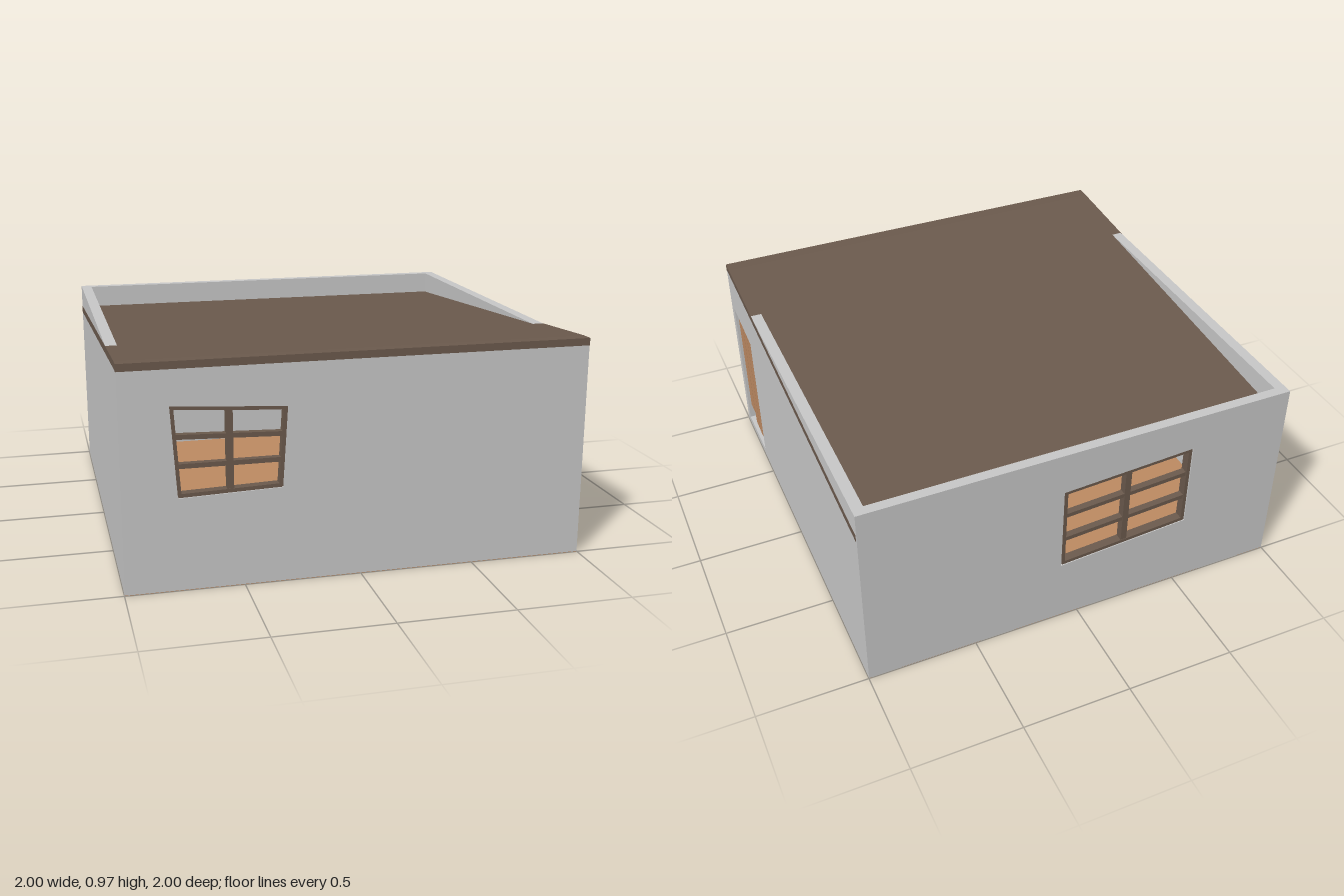
import * as THREE from 'three';

const plaster = new THREE.MeshStandardMaterial({ color: 0xc8c8c8 });
plaster.name = 'plaster';
const darkWood = new THREE.MeshStandardMaterial({ color: 0x6b5a4d });
darkWood.name = 'darkWood';
const lightWood = new THREE.MeshStandardMaterial({ color: 0xbd8a62 });
lightWood.name = 'lightWood';

const vectors = (pts) => pts.map(([x, y]) => new THREE.Vector2(x, y));

// Flat panel from an outline, with an optional opening
function panel(name, outline, depth, material, hole) {
  const shape = new THREE.Shape(vectors(outline));
  if (hole) shape.holes.push(new THREE.Path(vectors(hole)));
  const geometry = new THREE.ExtrudeGeometry(shape, { depth, bevelEnabled: false });
  const mesh = new THREE.Mesh(geometry, material);
  mesh.name = name;
  return mesh;
}

// Panel drawn in (z, y) whose outer face lies at the given x
function sidePanel(name, outline, depth, material, x, hole) {
  const mesh = panel(name, outline, depth, material, hole);
  mesh.rotation.y = -Math.PI / 2;
  mesh.position.x = x;
  return mesh;
}

const rect = (x0, x1, y0, y1) => [[x0, y0], [x1, y0], [x1, y1], [x0, y1]];

// Wooden bar between two points in the plane of a window
function bar(name, a, b, width, depth) {
  const dx = b[0] - a[0], dy = b[1] - a[1];
  const mesh = new THREE.Mesh(new THREE.BoxGeometry(Math.hypot(dx, dy) + 0.01, width, depth), darkWood);
  mesh.name = name;
  mesh.position.set((a[0] + b[0]) / 2, (a[1] + b[1]) / 2, 0);
  mesh.rotation.z = Math.atan2(dy, dx);
  return mesh;
}

// Crooked six-pane frame; corners run bottom left, bottom right, top right, top left
function windowFrame(name, corners, z) {
  const group = new THREE.Group();
  group.name = name;
  const cx = corners.reduce((s, p) => s + p[0], 0) / 4;
  const cy = corners.reduce((s, p) => s + p[1], 0) / 4;
  const q = corners.map(([x, y]) => [cx + (x - cx) * 0.965, cy + (y - cy) * 0.955]);
  const mix = (a, b, t) => [a[0] + (b[0] - a[0]) * t, a[1] + (b[1] - a[1]) * t];
  for (let i = 0; i < 4; i++) group.add(bar('frameEdge', q[i], q[(i + 1) % 4], 0.016, 0.04));
  group.add(bar('mullion', mix(q[0], q[1], 0.5), mix(q[3], q[2], 0.5), 0.028, 0.036));
  for (const t of [1 / 3, 2 / 3]) {
    group.add(bar('rail', mix(q[0], q[3], t), mix(q[1], q[2], t), 0.02, 0.03));
  }
  group.position.z = z;
  return group;
}

export function createModel() {
  const model = new THREE.Group();
  const edge = 0.999, top = 0.94, base = 0.002;

  // Floor slab
  const floor = new THREE.Mesh(new THREE.BoxGeometry(1.996, 0.035, 1.996), lightWood);
  floor.name = 'floor';
  floor.position.y = 0.0175;
  model.add(floor);

  // Front and back walls with their window openings
  const frontHole = [[-0.77, 0.4], [-0.335, 0.414], [-0.313, 0.757], [-0.795, 0.787]];
  const backHole = [[-0.53, 0.355], [0.09, 0.312], [0.09, 0.737], [-0.53, 0.772]];
  const inner = rect(-0.949, 0.949, base, top);
  const frontWall = panel('frontWall', inner, 0.05, plaster, frontHole);
  frontWall.position.z = edge - 0.05;
  const backWall = panel('backWall', inner, 0.045, plaster, backHole);
  backWall.position.z = -edge;
  model.add(frontWall, backWall);
  model.add(windowFrame('frontWindow', frontHole, 0.974));
  model.add(windowFrame('backWindow', backHole, -0.976));

  // Side walls, the left one with a doorway
  const side = rect(-edge, edge, base, top);
  const doorway = [[0.65, 0.036], [0.95, 0.036], [0.95, 0.735], [0.65, 0.705]];
  model.add(sidePanel('leftWall', side, 0.05, plaster, edge, doorway));
  model.add(sidePanel('rightWall', side, 0.05, plaster, -edge + 0.05));

  // Plank door, the first plank broken short over a dark cross piece
  const door = new THREE.Group();
  door.name = 'door';
  const planks = [
    [0.87, 0.945, 0.12, 0.12, 0.709, 0.716],
    [0.8, 0.862, 0.056, 0.062, 0.701, 0.708],
    [0.73, 0.794, 0.05, 0.053, 0.694, 0.702],
    [0.655, 0.724, 0.045, 0.05, 0.686, 0.695],
  ];
  for (const [z0, z1, b0, b1, t0, t1] of planks) {
    door.add(sidePanel('plank', [[z0, b0], [z1, b1], [z1, t1], [z0, t0]], 0.02, lightWood, 0.985));
  }
  door.add(sidePanel('crossPiece', rect(0.66, 0.945, 0.052, 0.122), 0.015, darkWood, 0.965));
  model.add(door);

  // Sloping roof sunk behind the parapet
  const roofProfile = [
    [-0.99, 0.8], [-0.92, 0.803], [0.94, 0.937], [1, 0.938],
    [1, 0.97], [0.94, 0.969], [-0.92, 0.837], [-0.99, 0.834],
  ];
  model.add(sidePanel('roof', roofProfile, 2.0, darkWood, 1.0));

  return model;
}
